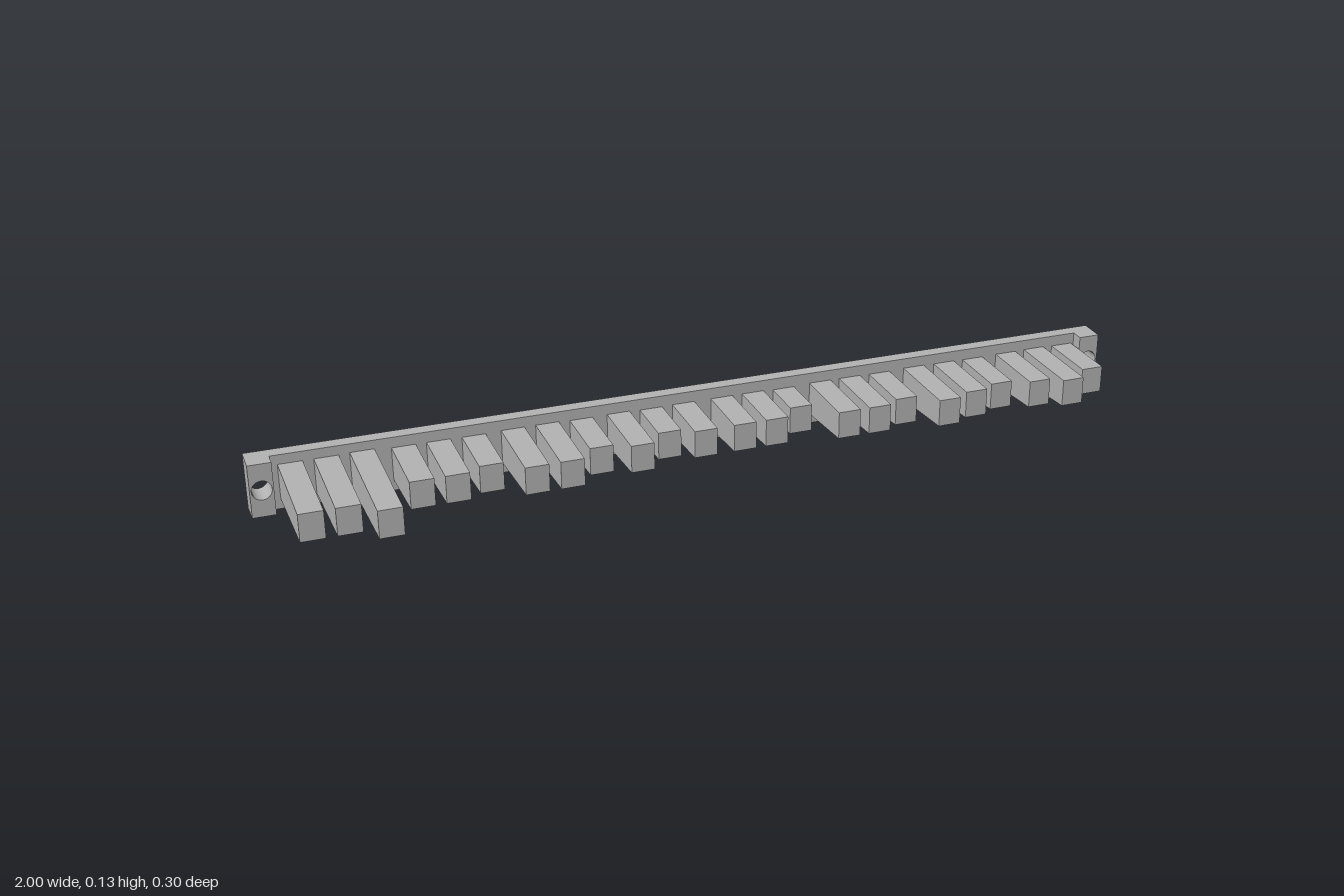
import * as THREE from 'three';

const BACK = -0.149, MID_Y = 0.063;

// Draft: height shrinks towards the front; only the top and bottom edges move
function draft(geo, zBack, zFront, halfBack, halfFront) {
  const p = geo.attributes.position;
  for (let i = 0; i < p.count; i++) {
    const y = p.getY(i);
    if (Math.abs(y) < 0.49 * 2 * halfBack) continue;
    const t = (p.getZ(i) - zBack) / (zFront - zBack);
    p.setY(i, Math.sign(y) * THREE.MathUtils.lerp(halfBack, halfFront, t));
  }
  geo.computeVertexNormals();
  return geo;
}

function taperedBox(width, zBack, zFront, halfBack, halfFront) {
  const geo = new THREE.BoxGeometry(width, halfBack * 2, zFront - zBack);
  geo.translate(0, 0, (zBack + zFront) / 2);
  return draft(geo, zBack, zFront, halfBack, halfFront);
}

export function createModel() {
  const model = new THREE.Group();
  const grey = new THREE.MeshStandardMaterial({ color: 0xb2b2b2 });
  grey.name = 'grey';
  const add = (name, geo, x) => {
    const mesh = new THREE.Mesh(geo, grey);
    mesh.name = name;
    mesh.position.set(x, MID_Y, 0);
    model.add(mesh);
  };

  // Long back bar
  const barFront = -0.119;
  add('backBar', taperedBox(1.9, BACK, barFront, 0.063, 0.0615), 0);

  // Thicker end blocks with a screw hole
  const endFront = -0.091, w = 0.025, h = 0.063;
  for (const side of [-1, 1]) {
    const shape = new THREE.Shape([
      new THREE.Vector2(-w, -h), new THREE.Vector2(w, -h),
      new THREE.Vector2(w, h), new THREE.Vector2(-w, h),
    ]);
    const hole = new THREE.Path();
    hole.absarc(0, 0, 0.0215, 0, Math.PI * 2, true);
    shape.holes.push(hole);
    const geo = new THREE.ExtrudeGeometry(shape, {
      depth: endFront - BACK, bevelEnabled: false, curveSegments: 16,
    });
    geo.translate(0, 0, BACK);
    add(side < 0 ? 'rightEndBlock' : 'leftEndBlock',
      draft(geo, BACK, endFront, h, 0.0598), side * 0.975);
  }

  // Teeth: centre x and length step; every tip has the same height
  const teeth = [
    [-0.909, 6], [-0.834, 6], [-0.759, 8], [-0.671, 3], [-0.596, 3], [-0.519, 2],
    [-0.433, 4], [-0.356, 4], [-0.279, 2], [-0.194, 3], [-0.118, 1], [-0.042, 2],
    [0.049, 2], [0.124, 2], [0.199, 0], [0.289, 3], [0.363, 3], [0.438, 2],
    [0.526, 4], [0.604, 3], [0.679, 2], [0.767, 3], [0.842, 4], [0.917, 2],
  ];
  const tipHalf = 0.031, slope = 0.0395, root = -0.125;
  for (const [x, step] of teeth) {
    const tip = -0.019 + step * 0.0211;
    add('tooth', taperedBox(0.052, root, tip, tipHalf + slope * (tip - root), tipHalf), x);
  }
  return model;
}
